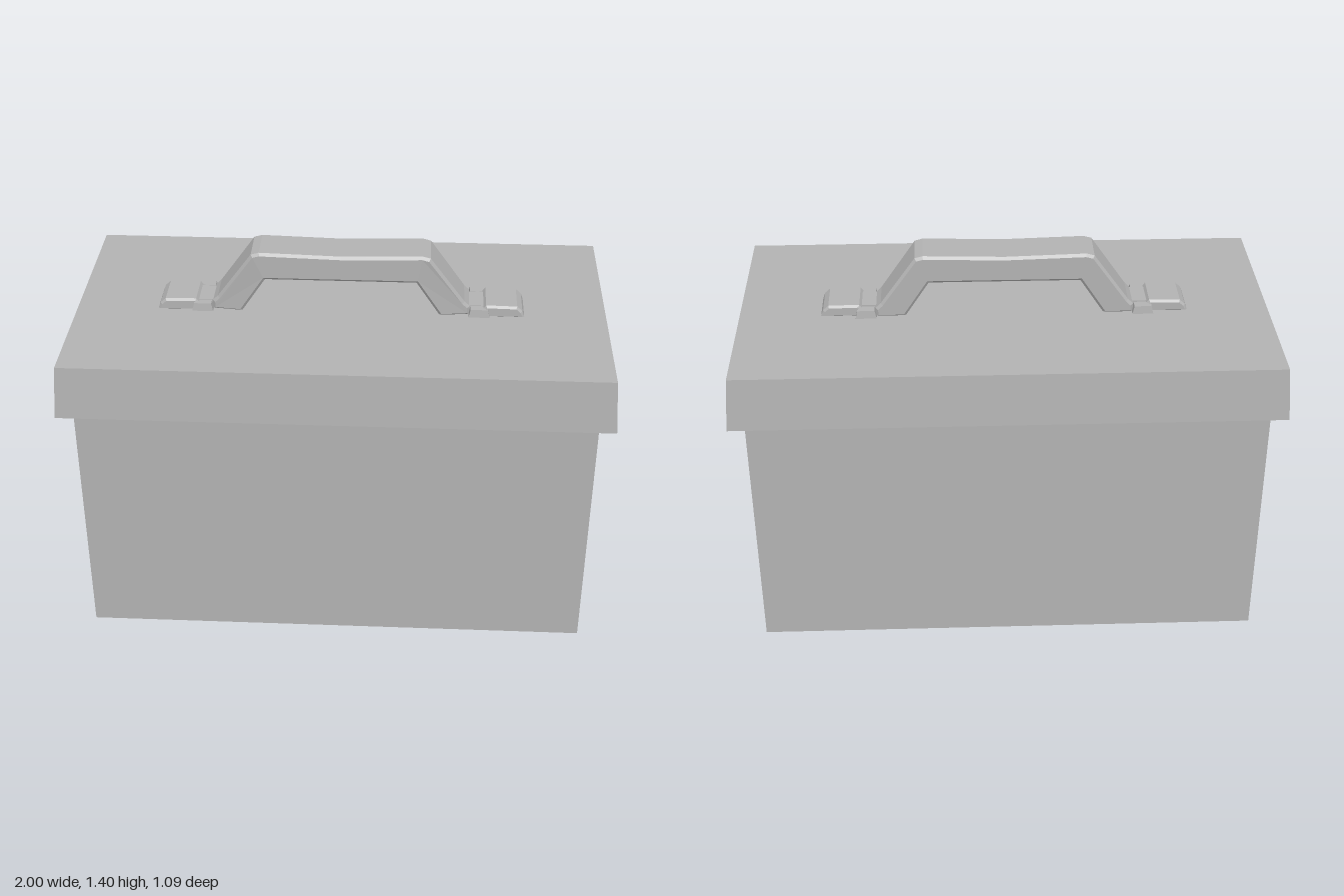
import * as THREE from 'three';

const metal = new THREE.MeshStandardMaterial({ color: 0xb2b2b2, flatShading: true });
metal.name = 'grey metal';

function add(parent, name, geometry) {
  const mesh = new THREE.Mesh(geometry, metal);
  mesh.name = name;
  parent.add(mesh);
  return mesh;
}

// Box standing on y0 whose top has its own half width and half depth
function taperedBox(y0, y1, bottom, top) {
  const geometry = new THREE.BoxGeometry(2, 1, 2);
  const p = geometry.attributes.position;
  for (let i = 0; i < p.count; i++) {
    const [w, d] = p.getY(i) > 0 ? top : bottom;
    p.setXYZ(i, p.getX(i) * w, p.getY(i) > 0 ? y1 : y0, p.getZ(i) * d);
  }
  geometry.computeVertexNormals();
  return geometry;
}

// Side profile in x and y, given depth in z with small chamfers
function plate(points, depth, bevel) {
  const shape = new THREE.Shape(points.map(([x, y]) => new THREE.Vector2(x, y)));
  const geometry = new THREE.ExtrudeGeometry(shape, {
    depth: depth - 2 * bevel, bevelEnabled: true, bevelSegments: 1,
    bevelThickness: bevel, bevelSize: bevel, bevelOffset: -bevel,
  });
  geometry.translate(0, 0, bevel - depth / 2);
  return geometry;
}

export function createModel() {
  const model = new THREE.Group();
  model.name = 'toolbox';

  add(model, 'body', taperedBox(0, 0.97, [0.938, 0.492], [0.943, 0.497]));
  add(model, 'lid', taperedBox(0.96, 1.16, [1, 0.545], [0.986, 0.53]));

  const handle = new THREE.Group();
  handle.name = 'handle';
  model.add(handle);

  // Arched grip, dipping slightly in the middle and narrowing at its ends
  const half = [[0.28, 1.292], [0.37, 1.155], [0.48, 1.155], [0.48, 1.19], [0.46, 1.21], [0.33, 1.392], [0.3, 1.4]];
  const mirrored = half.map(([x, y]) => [-x, y]).reverse();
  const grip = plate([...half, [0, 1.392], ...mirrored], 0.168, 0.01);
  const p = grip.attributes.position;
  for (let i = 0; i < p.count; i++) {
    const end = THREE.MathUtils.clamp((Math.abs(p.getX(i)) - 0.33) / 0.14, 0, 1);
    if (p.getZ(i) > 0) p.setZ(i, p.getZ(i) - 0.018 * end);
  }
  grip.computeVertexNormals();
  add(handle, 'grip', grip);

  // Small raised stud under the middle of the grip
  const stud = add(handle, 'gripStud', new THREE.CylinderGeometry(0.045, 0.03, 0.014, 4));
  stud.position.y = 1.286;

  for (const [side, s] of [['left', 1], ['right', -1]]) {
    const mount = new THREE.Group();
    mount.name = side + 'Mount';
    mount.rotation.y = s > 0 ? 0 : Math.PI;
    handle.add(mount);

    // Foot fixed to the lid, sloping down at the outer end
    add(mount, 'foot', plate([[0.53, 1.155], [0.685, 1.155], [0.675, 1.182], [0.655, 1.2], [0.54, 1.202], [0.53, 1.19]], 0.155, 0.008));

    // Hinge bridge and the two lugs beside it
    const bridge = add(mount, 'hingeBridge', new THREE.BoxGeometry(0.08, 0.036, 0.11));
    bridge.position.set(0.505, 1.174, 0);
    for (const z of [-1, 1]) {
      const lug = add(mount, 'hingeLug', taperedBox(0, 0.035, [0.04, 0.022], [0.032, 0.018]));
      lug.position.set(0.515, 1.155, z * s > 0 ? z * 0.068 : z * 0.08);
    }
  }
  return model;
}
